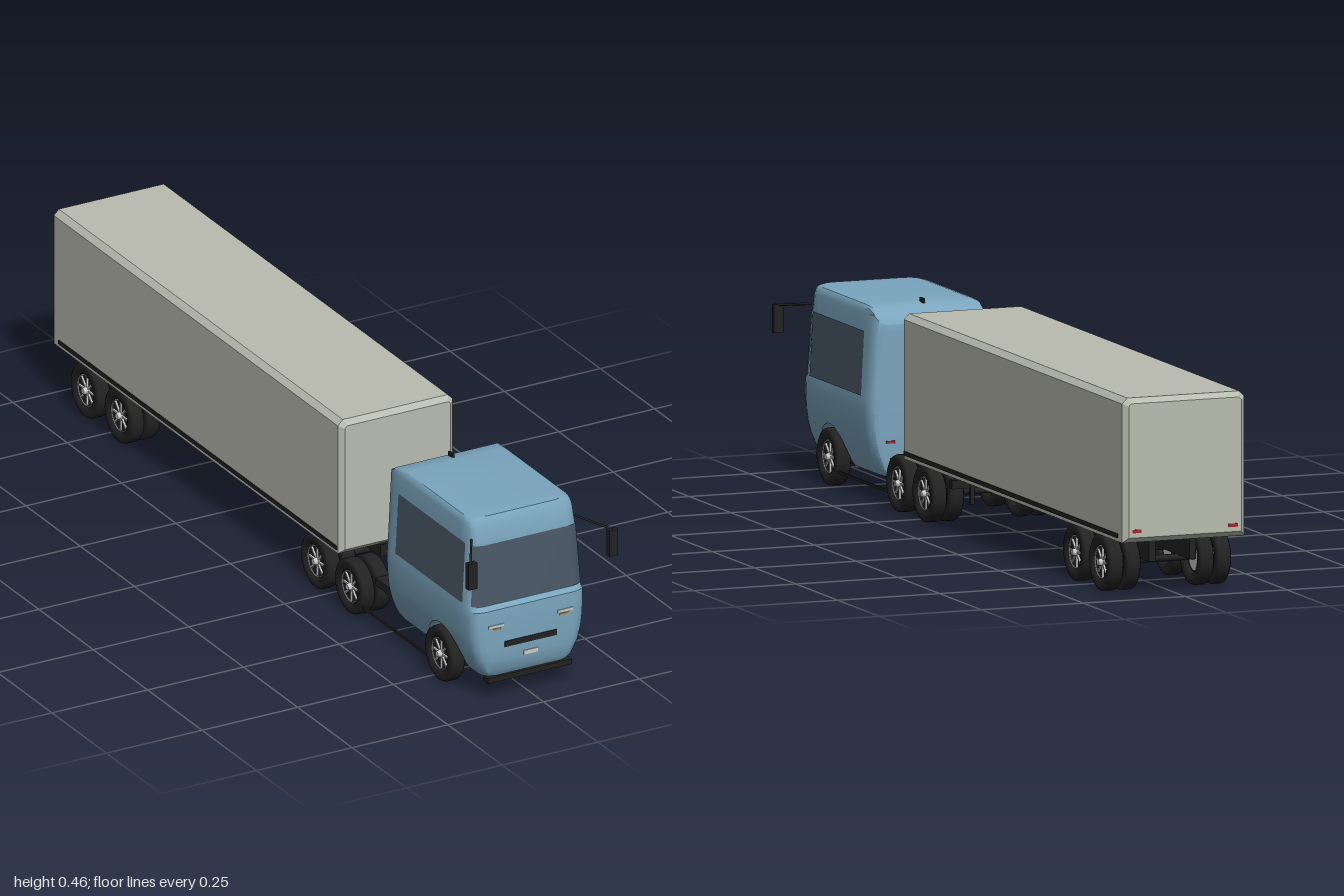
import * as THREE from 'three';
import { toCreasedNormals } from 'three/addons/utils/BufferGeometryUtils.js';

const mat = (color, side = THREE.FrontSide) => new THREE.MeshStandardMaterial({ color, side });
const blue = mat(0x7aa5bd), black = mat(0x222222), grey = mat(0xcccccc), red = mat(0xa02530);
const amber = mat(0xb08a40), shell = mat(0xb9bcb0), glass = mat(0x4a5866, THREE.DoubleSide);

function add(parent, name, geometry, material, x = 0, y = 0, z = 0) {
  const mesh = new THREE.Mesh(geometry, material);
  mesh.name = name;
  mesh.position.set(x, y, z);
  parent.add(mesh);
  return mesh;
}
const box = (parent, name, material, w, h, d, x, y, z) =>
  add(parent, name, new THREE.BoxGeometry(w, h, d), material, x, y, z);

// linear interpolation through [key, value] pairs
function lerpTable(table, v) {
  if (v <= table[0][0]) return table[0][1];
  for (let i = 1; i < table.length; i++) {
    const [a, p] = table[i - 1], [b, q] = table[i];
    if (v <= b) return p + (q - p) * (v - a) / (b - a);
  }
  return table[table.length - 1][1];
}

function fromQuads(quads, crease = 0.6) {
  const pos = [];
  for (const [a, b, c, d] of quads) pos.push(...a, ...b, ...c, ...a, ...c, ...d);
  const g = new THREE.BufferGeometry();
  g.setAttribute('position', new THREE.Float32BufferAttribute(pos, 3));
  g.computeVertexNormals();
  return toCreasedNormals(g, crease);
}

// cab half width and front lean by height
const WIDTH = [[0.055, 0.112], [0.07, 0.122], [0.1, 0.134], [0.13, 0.142], [0.16, 0.146], [0.2, 0.148],
  [0.225, 0.148], [0.235, 0.147], [0.385, 0.139], [0.425, 0.137], [0.437, 0.135], [0.443, 0.13], [0.446, 0.118]];
const LEAN = [[0.055, -0.012], [0.07, -0.004], [0.1, 0], [0.2, 0], [0.225, -0.002], [0.235, -0.012],
  [0.385, -0.022], [0.425, -0.03], [0.446, -0.04]];
const ROOF = [[0.52, 0.405], [0.53, 0.423], [0.56, 0.441], [0.6, 0.446]];
// [distance from the end, corner inset]
const FRONT = [[0, 0.03], [0.004, 0.014], [0.012, 0.005], [0.03, 0]];
const BACK = [[0, 0.025], [0.005, 0.011], [0.016, 0.003], [0.04, 0]];
const AXLE_Y = 0.066, FRONT_Z = 0.78, ARCH = 0.076;

// cab shell: cross-sections from back to front, lifted over the wheel arch
function cabGeometry() {
  const sections = BACK.map(([o, inset]) => ({ z: 0.52 + o, inset, bottom: 0.055 }));
  const plain = z => sections.push({ z, inset: 0, bottom: 0.055 });
  plain(0.6);
  plain(FRONT_Z - ARCH - 0.0005);
  for (let i = 0; i <= 20; i++) {
    const a = Math.PI * (1 - i / 20);
    sections.push({ z: FRONT_Z + ARCH * Math.cos(a), inset: 0, bottom: AXLE_Y + ARCH * Math.sin(a) });
  }
  plain(FRONT_Z + ARCH + 0.0005);
  for (const [o, inset] of [...FRONT].reverse()) sections.push({ z: 0.94 - o, inset, bottom: 0.055 });

  const n = WIDTH.length;
  const loops = sections.map(s => {
    const t = THREE.MathUtils.clamp((s.z - 0.86) / 0.05, 0, 1);
    const half = WIDTH.map(([level]) => {
      const y = Math.min(Math.max(level, s.bottom), lerpTable(ROOF, s.z));
      // the roof keeps its rounded edge where it drops
      const w = Math.min(lerpTable(WIDTH, y), level > 0.43 ? lerpTable(WIDTH, level) : 1);
      return [w - s.inset, y, s.z + lerpTable(LEAN, y) * t];
    });
    return [...half, ...half.map(([x, y, z]) => [-x, y, z]).reverse()];
  });
  const quads = [];
  for (let k = 0; k + 1 < loops.length; k++) {
    for (let i = 0; i < 2 * n; i++) {
      const j = (i + 1) % (2 * n);
      quads.push([loops[k + 1][i], loops[k][i], loops[k][j], loops[k + 1][j]]);
    }
  }
  const back = loops[0], front = loops[loops.length - 1];
  for (let i = 0; i + 1 < n; i++) {
    const m = 2 * n - 1 - i;
    quads.push([front[i], front[i + 1], front[m - 1], front[m]]);
    quads.push([back[i], back[m], back[m - 1], back[i + 1]]);
  }
  return fromQuads(quads);
}

// windscreen follows the rounded front corners
function windscreenGeometry() {
  const row = y => {
    const half = FRONT.slice(0, 3).map(([o, inset]) =>
      [lerpTable(WIDTH, y) - inset + 0.001, y, 0.9425 - o + lerpTable(LEAN, y)]);
    return [...half.map(([x, yy, z]) => [-x, yy, z]).reverse(), ...half];
  };
  const low = row(0.237), high = row(0.384);
  return fromQuads(low.slice(1).map((p, i) => [low[i], p, high[i + 1], high[i]]));
}

function makeCab() {
  const cab = new THREE.Group();
  cab.name = 'cab';
  add(cab, 'cabShell', cabGeometry(), blue);
  add(cab, 'windscreen', windscreenGeometry(), glass);
  box(cab, 'cabFloor', black, 0.2, 0.006, 0.38, 0, 0.053, 0.735);
  box(cab, 'frontBumper', black, 0.22, 0.013, 0.02, 0, 0.051, 0.927);
  box(cab, 'grille', black, 0.135, 0.014, 0.006, 0, 0.136, 0.939);
  box(cab, 'numberPlate', grey, 0.036, 0.01, 0.004, 0, 0.104, 0.94);
  box(cab, 'roofFin', black, 0.005, 0.012, 0.02, 0, 0.447, 0.575);
  for (const s of [-1, 1]) {
    // side window lies on the tapering wall
    const corner = (y, z) => [s * (lerpTable(WIDTH, y) + 0.0015), y, z];
    add(cab, 'sideWindow', fromQuads([[corner(0.236, 0.887), corner(0.236, 0.58), corner(0.384, 0.58),
      corner(0.384, 0.887)]]), glass);
    box(cab, 'headlamp', grey, 0.04, 0.006, 0.006, s * 0.09, 0.186, 0.939);
    box(cab, 'indicator', amber, 0.024, 0.004, 0.005, s * 0.088, 0.178, 0.939);
    box(cab, 'cabTailLamp', red, 0.022, 0.006, 0.004, s * 0.1, 0.135, 0.519);
    // mirror on a slanted arm
    box(cab, 'mirror', black, 0.023, 0.065, 0.014, s * 0.184, 0.355, 0.992);
    const arm = new THREE.LineCurve3(new THREE.Vector3(s * 0.135, 0.398, 0.905),
      new THREE.Vector3(s * 0.186, 0.386, 0.992));
    add(cab, 'mirrorArm', new THREE.TubeGeometry(arm, 1, 0.003, 6), black);
  }
  return cab;
}

// wheel with its outer side along +y
function makeWheel() {
  const wheel = new THREE.Group();
  wheel.name = 'wheel';
  const profile = [[0.038, -0.006], [0.041, -0.016], [0.058, -0.0185], [0.064, -0.015], [0.066, -0.01],
    [0.066, 0.01], [0.064, 0.015], [0.058, 0.0185], [0.041, 0.016], [0.038, 0.006]];
  const lathe = new THREE.LatheGeometry(profile.map(([r, y]) => new THREE.Vector2(r, y)), 32);
  add(wheel, 'tyre', lathe, black);
  add(wheel, 'rimDisc', new THREE.CylinderGeometry(0.04, 0.04, 0.008, 32), black, 0, 0.003, 0);
  add(wheel, 'rimBack', new THREE.CylinderGeometry(0.034, 0.034, 0.004, 24), grey, 0, -0.005, 0);
  const rim = add(wheel, 'rimRing', new THREE.TorusGeometry(0.037, 0.0015, 6, 32), grey, 0, 0.012, 0);
  rim.rotation.x = Math.PI / 2;
  for (let i = 0; i < 8; i++) {
    const a = i * Math.PI / 4;
    const spoke = box(wheel, 'spoke', grey, 0.028, 0.005, 0.004, 0.022 * Math.cos(a), 0.009, -0.022 * Math.sin(a));
    spoke.rotation.y = a;
  }
  add(wheel, 'hub', new THREE.CylinderGeometry(0.007, 0.01, 0.016, 12), grey, 0, 0.013, 0);
  return wheel;
}

function makeAxle(z, dual) {
  const axle = new THREE.Group();
  axle.name = 'axle';
  axle.position.set(0, AXLE_Y, z);
  const bar = add(axle, 'axleBar', new THREE.CylinderGeometry(0.008, 0.008, 0.22, 10), black);
  bar.rotation.z = Math.PI / 2;
  for (const s of [-1, 1]) {
    for (const x of dual ? [0.132, 0.09] : [0.133]) {
      const wheel = makeWheel();
      wheel.position.x = s * x;
      wheel.rotation.z = -s * Math.PI / 2;
      axle.add(wheel);
    }
  }
  return axle;
}

function makeChassis() {
  const chassis = new THREE.Group();
  chassis.name = 'chassis';
  box(chassis, 'rearDeck', black, 0.22, 0.018, 0.08, 0, 0.093, 0.46);
  box(chassis, 'spine', grey, 0.036, 0.014, 0.36, 0, 0.098, 0.315);
  box(chassis, 'couplingPlate', black, 0.09, 0.03, 0.12, 0, 0.118, 0.27);
  box(chassis, 'rearCrossBar', black, 0.22, 0.02, 0.018, 0, 0.095, 0.138);
  for (const s of [-1, 1]) {
    box(chassis, 'sideRail', black, 0.004, 0.006, 0.33, s * 0.145, 0.039, 0.57);
    box(chassis, 'bumperHanger', black, 0.01, 0.05, 0.008, s * 0.06, 0.072, 0.13);
  }
  return chassis;
}

function makeTrailer() {
  const trailer = new THREE.Group();
  trailer.name = 'trailer';
  // box body with chamfered edges
  const b = 0.012, w = 0.15 - b, lo = 0.13 + b, hi = 0.463 - b, c = 0.006;
  const shape = new THREE.Shape([[-w, lo], [w, lo], [w, hi - c], [w - c, hi], [-w + c, hi], [-w, hi - c]]
    .map(p => new THREE.Vector2(...p)));
  add(trailer, 'trailerBody', new THREE.ExtrudeGeometry(shape, {
    depth: 1.33 - 2 * b, bevelEnabled: true, bevelThickness: b, bevelSize: b, bevelSegments: 1,
  }), shell, 0, 0, -1 + b);
  for (const s of [-1, 1]) {
    box(trailer, 'sideStrip', black, 0.008, 0.01, 1.28, s * 0.148, 0.143, -0.325);
    box(trailer, 'tailLamp', red, 0.022, 0.008, 0.004, s * 0.118, 0.157, -0.999);
    box(trailer, 'bogieFrame', black, 0.016, 0.06, 0.3, s * 0.05, 0.102, -0.775);
  }
  return trailer;
}

export function createModel() {
  const truck = new THREE.Group();
  truck.name = 'truck';
  truck.add(makeCab(), makeChassis(), makeTrailer(), makeAxle(FRONT_Z, false));
  for (const z of [0.365, 0.208, -0.695, -0.85]) truck.add(makeAxle(z, true));
  return truck;
}
